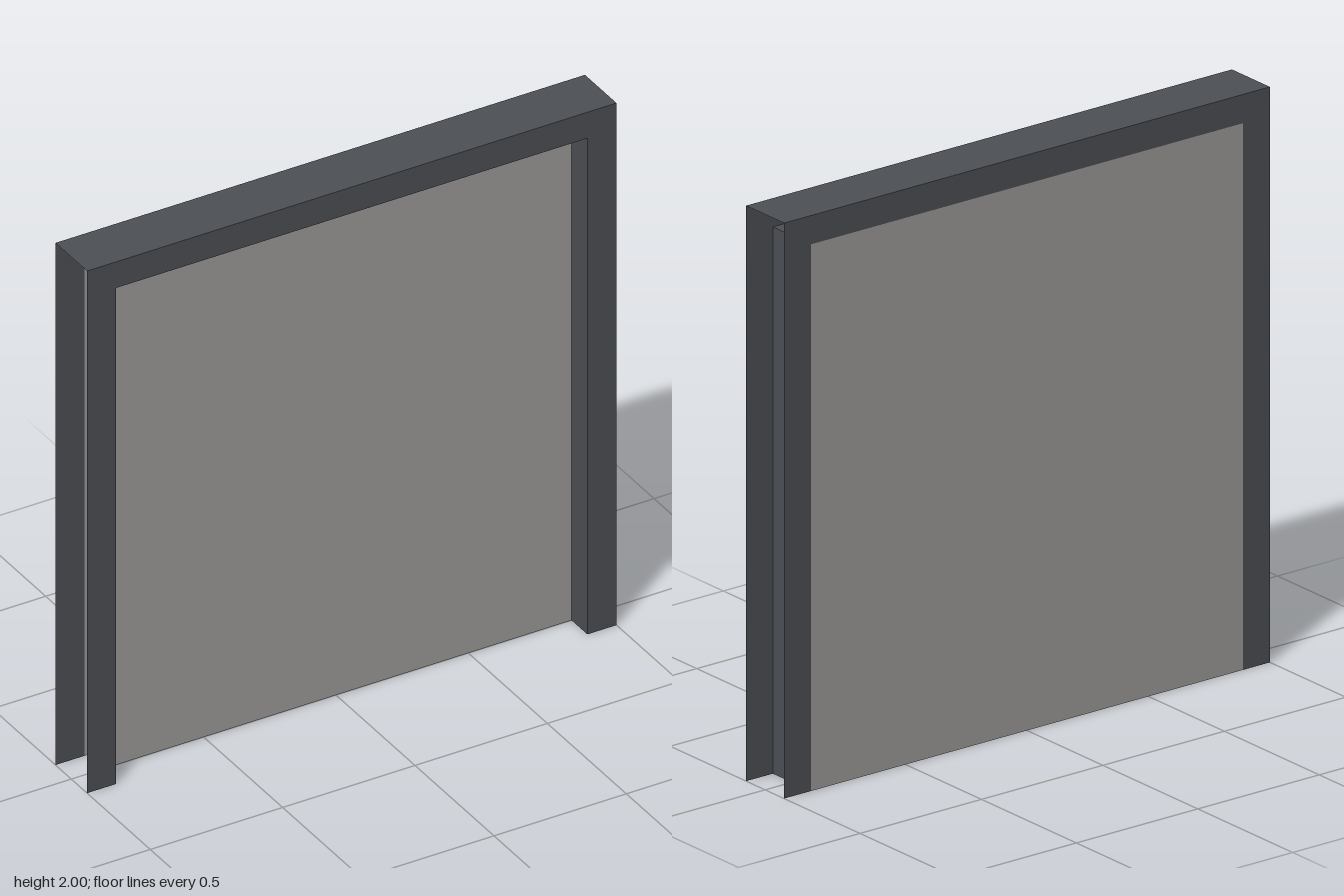
import * as THREE from 'three';

const W = 1, H = 2;            // half width and height of the frame
const IN = 0.89, HEAD = 1.9;   // half width and height of the opening
const D = 0.1;                 // half depth

export function createModel() {
  const group = new THREE.Group();
  const frameMat = new THREE.MeshStandardMaterial({ color: 0x4d5055, side: THREE.DoubleSide });
  frameMat.name = 'dark frame';
  const panelMat = new THREE.MeshStandardMaterial({ color: 0x9e9d9a, side: THREE.DoubleSide });
  panelMat.name = 'grey panel';

  const add = (name, geometry, material, x, y, z, rx = 0, ry = 0) => {
    const mesh = new THREE.Mesh(geometry, material);
    mesh.name = name;
    mesh.position.set(x, y, z);
    mesh.rotation.set(rx, ry, 0);
    group.add(mesh);
  };

  // Flat surround: two jambs joined by a head
  const outline = new THREE.Shape([
    [-W, 0], [-IN, 0], [-IN, HEAD], [IN, HEAD], [IN, 0], [W, 0], [W, H], [-W, H],
  ].map(([x, y]) => new THREE.Vector2(x, y)));
  const surround = new THREE.ShapeGeometry(outline);
  add('frontSurround', surround, frameMat, 0, 0, D);
  add('backSurround', surround, frameMat, 0, 0, -D, 0, Math.PI);

  // Top cover across the full depth; the ends stay open
  add('topCover', new THREE.PlaneGeometry(2 * W, 2 * D), frameMat, 0, H, 0, -Math.PI / 2);

  // Reveals from the front surround back to the recessed door
  for (const [name, s] of [['left', 1], ['right', -1]]) {
    add(name + 'Reveal', new THREE.PlaneGeometry(D, HEAD), frameMat,
      s * IN, HEAD / 2, D / 2, 0, -s * Math.PI / 2);
  }
  add('headReveal', new THREE.PlaneGeometry(2 * IN, D), frameMat, 0, HEAD, D / 2, Math.PI / 2);

  // Recessed front panel and flush back panel
  const panel = new THREE.PlaneGeometry(2 * IN, HEAD);
  add('frontPanel', panel, panelMat, 0, HEAD / 2, 0);
  add('backPanel', panel, panelMat, 0, HEAD / 2, -D, 0, Math.PI);

  return group;
}
